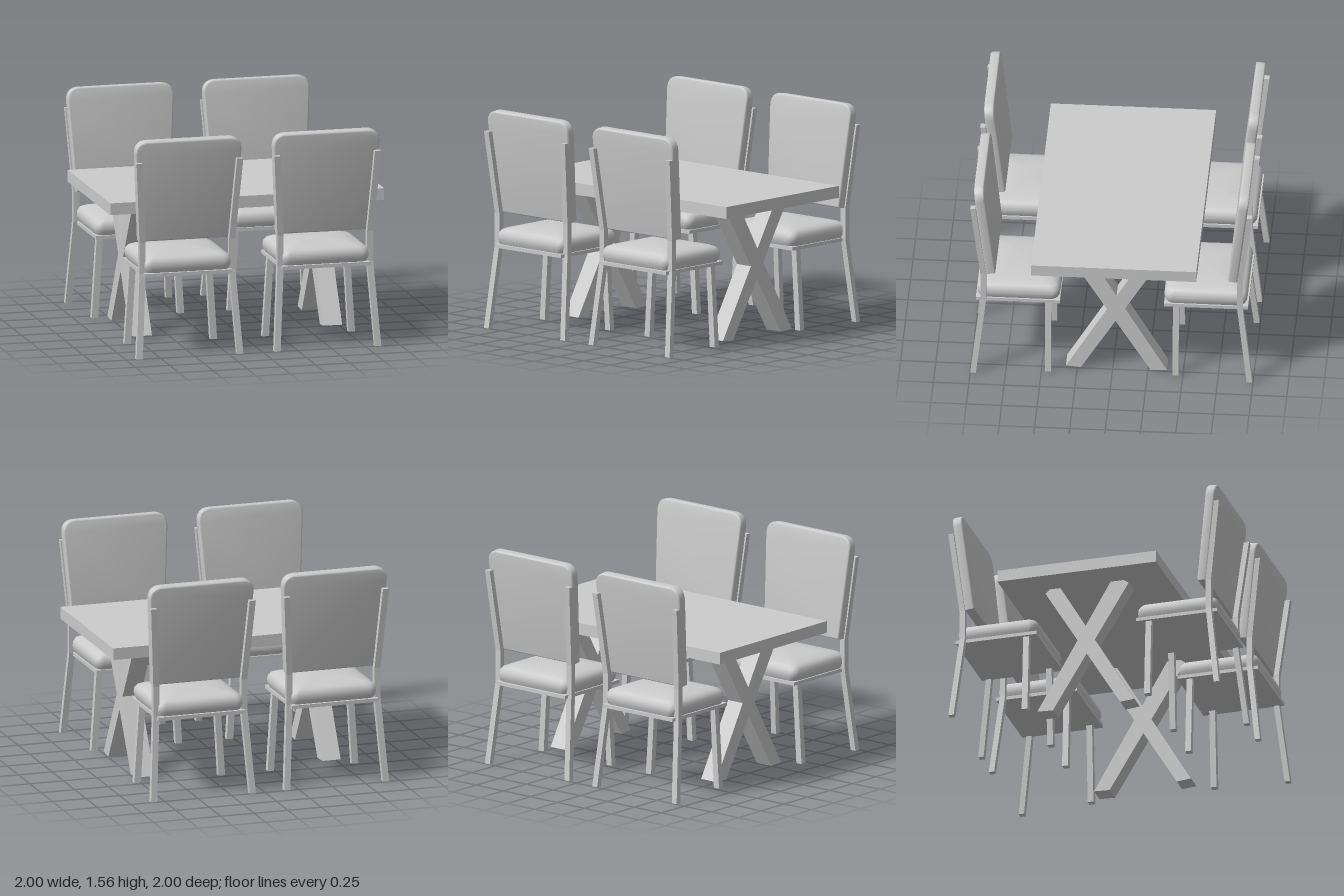
import * as THREE from 'three';
import { toCreasedNormals } from 'three/addons/utils/BufferGeometryUtils.js';

const material = new THREE.MeshStandardMaterial({ color: 0xcccccc });

function part(name, geometry) {
  const mesh = new THREE.Mesh(geometry, material);
  mesh.name = name;
  return mesh;
}

function box(name, x0, x1, y0, y1, z0, z1) {
  const g = new THREE.BoxGeometry(x1 - x0, y1 - y0, z1 - z0);
  g.translate((x0 + x1) / 2, (y0 + y1) / 2, (z0 + z1) / 2);
  return part(name, g);
}

// Joins equal-length loops (counter-clockwise seen from above, listed bottom to top) and caps both ends
function loft(loops, creaseAngle) {
  const n = loops[0].length;
  const index = [];
  for (let r = 0; r < loops.length - 1; r++) {
    for (let i = 0; i < n; i++) {
      const a = r * n + i, b = r * n + (i + 1) % n;
      index.push(a, b, b + n, a, b + n, a + n);
    }
  }
  const top = (loops.length - 1) * n;
  for (let i = 1; i < n - 1; i++) {
    index.push(0, i + 1, i, top, top + i, top + i + 1);
  }
  const g = new THREE.BufferGeometry();
  g.setAttribute('position', new THREE.Float32BufferAttribute(loops.flat(2), 3));
  g.setIndex(index);
  return toCreasedNormals(g, creaseAngle);
}

// Square leg through sections [y, x0, x1, z0, z1]; side = -1 mirrors it
function leg(name, sections, side) {
  const loops = sections.map(([y, a, b, z0, z1]) => {
    const x0 = side > 0 ? a : -b, x1 = side > 0 ? b : -a;
    return [[x0, y, z1], [x1, y, z1], [x1, y, z0], [x0, y, z0]];
  });
  return part(name, loft(loops, 0.05));
}

// Rounded rectangle loop around the seat centre
function seatLoop(halfX, halfZ, radius, y, zc) {
  const loop = [];
  const corners = [[1, 1], [1, -1], [-1, -1], [-1, 1]];
  corners.forEach(([sx, sz], c) => {
    for (let i = 0; i <= 6; i++) {
      const t = Math.PI / 2 * (1 - c - i / 6);
      loop.push([sx * (halfX - radius) + radius * Math.cos(t), y,
        zc + sz * (halfZ - radius) + radius * Math.sin(t)]);
    }
  });
  return loop;
}

// Chair with its backrest towards +z
function createChair() {
  const chair = new THREE.Group();
  const backLeg = [
    [0, 0.345, 0.39, 0.96, 1.0],
    [0.6, 0.305, 0.35, 0.89, 0.93],
    [0.82, 0.305, 0.35, 0.89, 0.93],
    [1.41, 0.345, 0.39, 0.962, 1.0],
  ];
  const frontLeg = [
    [0, 0.29, 0.338, 0.432, 0.475],
    [0.585, 0.255, 0.3, 0.432, 0.475],
  ];
  for (const side of [1, -1]) {
    chair.add(leg('backLeg', backLeg, side), leg('frontLeg', frontLeg, side));
  }
  chair.add(box('seatBoard', -0.322, 0.322, 0.58, 0.605, 0.37, 0.965));

  // Domed cushion: [inset, y]
  const profile = [[0.015, 0.605], [0.004, 0.63], [0, 0.655], [0.004, 0.685], [0.02, 0.707],
    [0.05, 0.72], [0.1, 0.73], [0.16, 0.738], [0.22, 0.742], [0.28, 0.744]];
  const loops = profile.map(([d, y]) =>
    seatLoop(0.325 - d, 0.295 - d, Math.max(0.012, 0.06 - d * 0.15 - Math.max(0, d - 0.2) * 0.2), y, 0.664));
  loops[loops.length - 1] = seatLoop(0.045, 0.014, 0.012, 0.744, 0.664);
  chair.add(part('seatCushion', loft(loops, 1.0)));

  // Tapered backrest with round upper corners, leaning backwards
  const b = 0.012, w0 = 0.345 - b, w1 = 0.39 - b, h = 0.74 - b, r = 0.085;
  const s = new THREE.Shape();
  s.moveTo(-w0, b);
  s.lineTo(w0, b);
  s.lineTo(w1 - 0.003, h - r);
  s.quadraticCurveTo(w1, h, w1 - r, h);
  s.lineTo(-w1 + r, h);
  s.quadraticCurveTo(-w1, h, -w1 + 0.003, h - r);
  s.closePath();
  const g = new THREE.ExtrudeGeometry(s, {
    depth: 0.07 - 2 * b, bevelSize: b, bevelThickness: b, bevelSegments: 3, curveSegments: 10,
  });
  g.translate(0, 0, b - 0.07);
  g.rotateX(Math.atan(0.115));
  g.translate(0, 0.823, 0.893);
  chair.add(part('backrest', toCreasedNormals(g, 0.6)));
  return chair;
}

// Bar of a crossed leg, outlined in [z, y]
function crossBar(points, x0, x1) {
  const shape = new THREE.Shape(points.map(([z, y]) => new THREE.Vector2(-z, y)));
  const g = new THREE.ExtrudeGeometry(shape, { depth: x1 - x0, bevelEnabled: false });
  g.rotateY(Math.PI / 2);
  g.translate(x0, 0, 0);
  return part('crossBar', g);
}

export function createModel() {
  const model = new THREE.Group();
  model.name = 'diningSet';

  // Table
  const table = new THREE.Group();
  table.name = 'table';
  table.add(box('tableTop', -1, 1, 0.955, 1.04, -0.61, 0.56));
  const barA = [[0.33, 0.02], [0.225, 0.01], [-0.325, 0.925], [-0.295, 0.955], [-0.215, 0.955]];
  const barB = [[-0.385, 0.015], [0.155, 0.955], [0.25, 0.955], [0.288, 0.93], [-0.27, 0.01]];
  for (const [x0, x1] of [[-0.77, -0.635], [0.62, 0.755]]) {
    const trestle = new THREE.Group();
    trestle.name = 'crossedLeg';
    trestle.add(crossBar(barA, x0, x1), crossBar(barB, x0, x1));
    table.add(trestle);
  }
  model.add(table);

  // Two chairs on each long side: [x, z, turn]
  const places = [[-0.535, 0, 0], [0.4725, 0, 0], [-0.535, 0.005, Math.PI], [0.4575, 0.005, Math.PI]];
  for (const [x, z, turn] of places) {
    const chair = createChair();
    chair.name = 'chair';
    chair.position.set(x, 0, z);
    chair.rotation.y = turn;
    model.add(chair);
  }
  return model;
}
